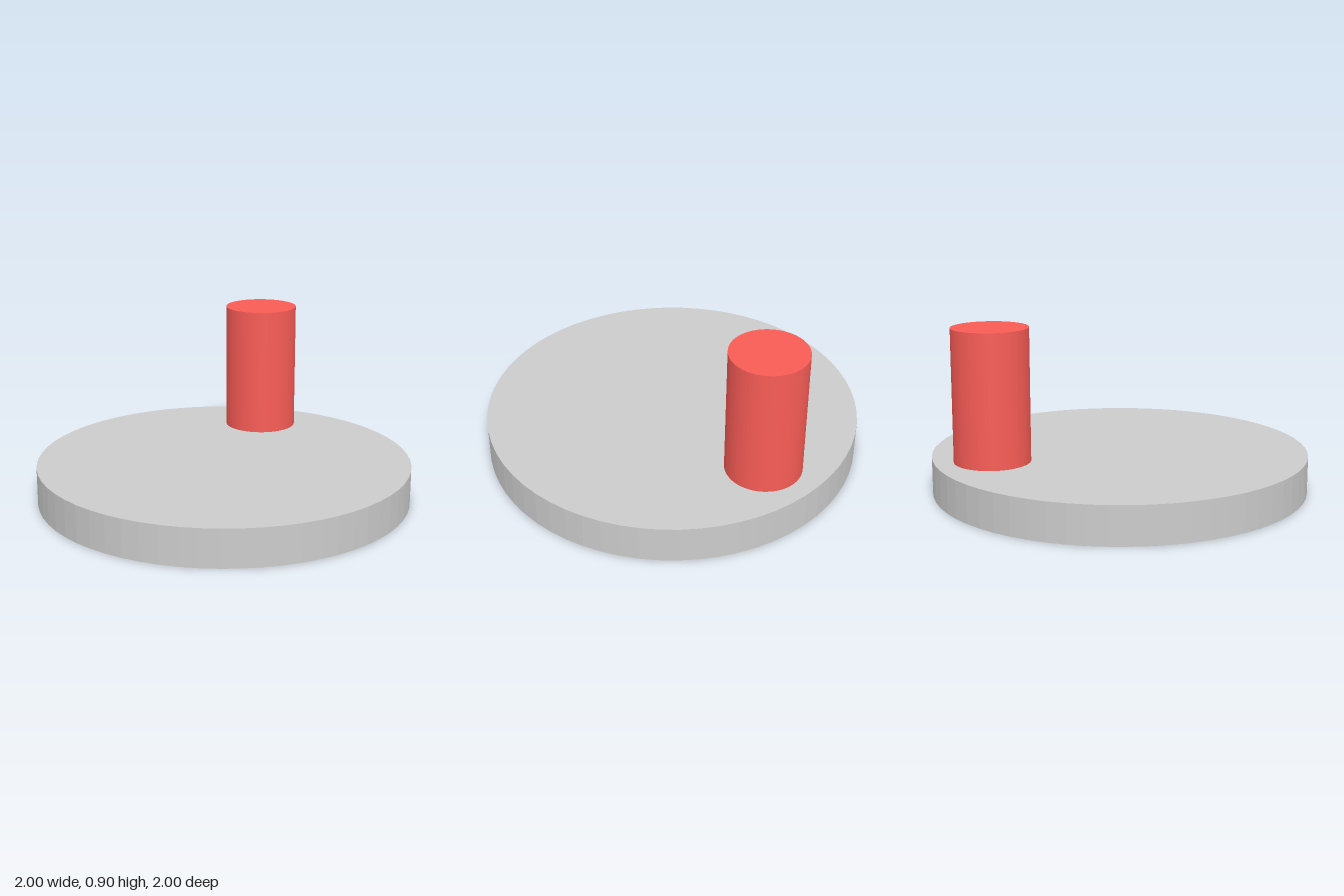
import * as THREE from 'three';

// Upright cylinder standing on height y
function cylinder(name, radius, height, y, z, color) {
  const mesh = new THREE.Mesh(
    new THREE.CylinderGeometry(radius, radius, height, 64),
    new THREE.MeshStandardMaterial({ color, flatShading: true })
  );
  mesh.name = name;
  mesh.position.set(0, y + height / 2, z);
  return mesh;
}

export function createModel() {
  const model = new THREE.Group();
  model.name = 'discWithPeg';

  // Flat round base
  model.add(cylinder('baseDisc', 1, 0.2, 0, 0, 0xcccccc));
  // Red peg near the back edge
  model.add(cylinder('peg', 0.2, 0.7, 0.2, -0.7, 0xf85c56));

  return model;
}
